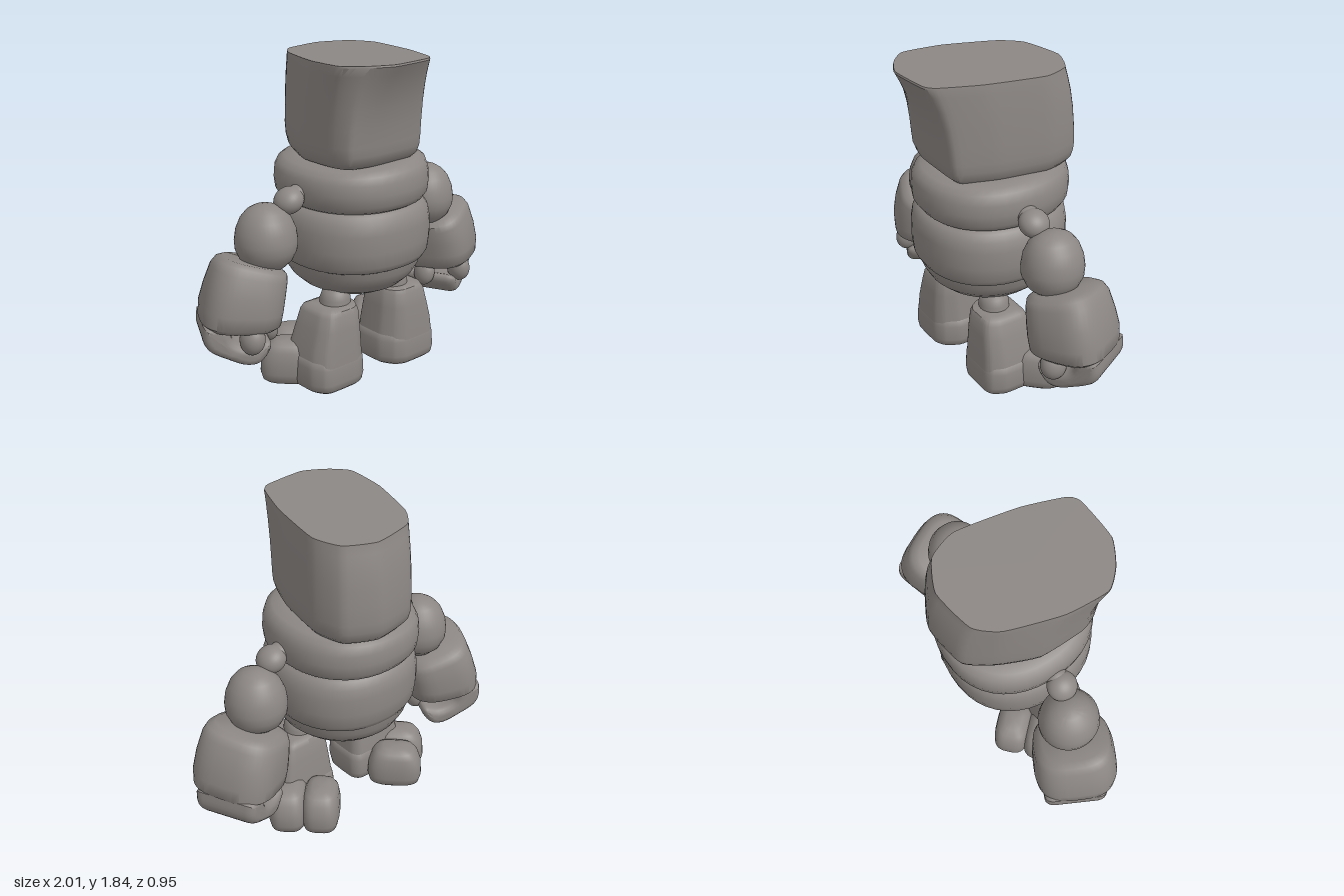
import * as THREE from 'three';
import { mergeVertices, toCreasedNormals } from 'three/addons/utils/BufferGeometryUtils.js';

const SEG = 40;
const ARM_TURN = 0.45;

// Closed skin over a stack of rings (bottom to top), each an array of Vector3
function skin(rings, crease = 0.7) {
  const n = rings[0].length, pos = [], idx = [];
  rings.forEach(r => r.forEach(p => pos.push(p.x, p.y, p.z)));
  for (let i = 0; i < rings.length - 1; i++) {
    for (let j = 0; j < n; j++) {
      const a = i * n + j, b = i * n + (j + 1) % n;
      idx.push(a, a + n, b, b, a + n, b + n);
    }
  }
  [rings[0], rings[rings.length - 1]].forEach((r, end) => {
    const c = r.reduce((s, p) => s.add(p), new THREE.Vector3()).divideScalar(n);
    const base = end ? (rings.length - 1) * n : 0, k = pos.length / 3;
    pos.push(c.x, c.y, c.z);
    for (let j = 0; j < n; j++) {
      const a = base + j, b = base + (j + 1) % n;
      idx.push(...(end ? [k, b, a] : [k, a, b]));
    }
  });
  const g = new THREE.BufferGeometry();
  g.setAttribute('position', new THREE.Float32BufferAttribute(pos, 3));
  g.setIndex(idx);
  return toCreasedNormals(g, crease);
}

// Rounded-square cross-sections: rows of [y, rx, rz, cx, cz, slope along x]; turn rotates in plan
function loft(rows, power = 2, turn = 0, crease) {
  const bend = v => Math.sign(v) * Math.pow(Math.abs(v), 2 / power);
  const c = Math.cos(turn), s = Math.sin(turn);
  return skin(rows.map(([y, rx, rz, cx = 0, cz = 0, slope = 0]) => Array.from({ length: SEG }, (_, j) => {
    const a = j / SEG * Math.PI * 2;
    const x = rx * bend(Math.cos(a)), z = rz * bend(Math.sin(a));
    const dx = x * c - z * s;
    return new THREE.Vector3(cx + dx, y + slope * dx, cz + x * s + z * c);
  })), crease);
}

// Ring at height y through [x, z] corners, slightly softened
function cornerRing(corners, y) {
  const pts = corners.map(([x, z]) => new THREE.Vector3(x, y, z));
  return new THREE.CatmullRomCurve3(pts, true, 'catmullrom', 0.25).getPoints(60).slice(0, -1);
}

function ellipsoid(x, y, z, rx, ry, rz, tilt = 0) {
  return new THREE.SphereGeometry(1, 28, 20).scale(rx, ry, rz).rotateZ(tilt).translate(x, y, z);
}

function mirrored(geometry) {
  const g = mergeVertices(geometry.clone().scale(-1, 1, 1));
  const ix = g.index;
  for (let i = 0; i < ix.count; i += 3) {
    const t = ix.getX(i);
    ix.setX(i, ix.getX(i + 1));
    ix.setX(i + 1, t);
  }
  return g;
}

// Lopsided block head that flares forward at the top
function headGeometry() {
  const low = [[.335, -.2], [.285, .1], [.205, .31], [.13, .335], [-.15, .335], [-.29, .3], [-.33, .2],
    [-.335, -.05], [-.25, -.27], [-.14, -.43], [.1, -.475], [.285, -.38]];
  const high = [[.31, -.17], [.25, .17], [.17, .4], [.11, .45], [-.13, .47], [-.27, .4], [-.36, .3],
    [-.35, .06], [-.26, -.24], [-.16, -.36], [.08, -.41], [.25, -.33]];
  const levels = [[1.265, 0, .78], [1.278, 0, .89], [1.305, 0, .955], [1.35, 0, .99], [1.4, 0, 1],
    [1.5, .1, 1], [1.6, .25, 1], [1.7, .5, 1], [1.78, .8, 1], [1.825, 1, 1], [1.835, 1, .995]];
  return skin(levels.map(([y, t, s]) => {
    const ring = cornerRing(low.map(([x, z], i) => [
      s * (x + (high[i][0] - x) * t), s * (z + (high[i][1] - z) * t) - (1 - s) * .12]), y);
    ring.forEach(p => { p.y += 0.025 * t * p.z; });
    return ring;
  }), 0.6);
}

// Leg block with its inner front corner cut away: rows of [y, rx, rz, cx, cz]
function legBlock(rows) {
  const plan = [[1, -.75], [1, .45], [.8, .88], [.55, 1], [-.4, 1], [-.75, .8], [-1, .3], [-1, -.7],
    [-.75, -1], [.75, -1]];
  return skin(rows.map(([y, rx, rz, cx, cz]) =>
    cornerRing(plan.map(([x, z]) => [cx + rx * x, cz + rz * z]), y)), 0.8);
}

// Curled slab of fingers, open towards the body and turned with the forearm
function fingersGeometry() {
  const outline = [[.18, .5], [.185, .42], [.15, .355], [.06, .3], [-.04, .255], [-.12, .265],
    [-.175, .34], [-.16, .385], [-.07, .365], [.02, .4], [.05, .47], [.1, .51]].map(p => new THREE.Vector2(...p));
  const shape = new THREE.Shape(new THREE.SplineCurve([...outline, outline[0]]).getPoints(44).slice(0, -1));
  const g = new THREE.ExtrudeGeometry(shape, { depth: .25, bevelEnabled: true, bevelSize: .04,
    bevelThickness: .055, bevelOffset: -.04, bevelSegments: 4 });
  g.deleteAttribute('uv');
  g.translate(0, 0, -.125).rotateY(ARM_TURN).translate(.775, 0, -.1);
  return toCreasedNormals(g, 0.9);
}

export function createModel() {
  const model = new THREE.Group();
  model.name = 'stoneGolem';
  const stone = new THREE.MeshStandardMaterial({ color: 0x8c8784 });
  stone.name = 'warm grey stone';

  const add = (name, geometry, parent = model) => {
    const mesh = new THREE.Mesh(geometry, stone);
    mesh.name = name;
    parent.add(mesh);
  };

  // Head and torso
  add('head', headGeometry());
  add('neck', loft([[1.2, .26, .3, 0, -.05], [1.32, .25, .28, 0, -.05]]));
  add('chest', loft([[1.02, .34, .36], [1.045, .38, .405], [1.08, .4, .43], [1.14, .408, .435],
    [1.2, .403, .43], [1.245, .385, .415], [1.27, .35, .38], [1.28, .29, .32]]
    .map((r, i) => [...r, 0, -.025, i > 4 ? .03 : 0]), 2.2, 0, 1));
  add('belly', loft([[.69, .36, .37], [.705, .39, .4], [.74, .41, .42], [.82, .42, .428], [.92, .418, .428],
    [.98, .405, .42], [1.02, .38, .395], [1.045, .34, .35]].map(r => [...r, 0, -.015]), 2.2, 0, 1));
  add('hips', loft([[.475, .06, .06], [.485, .14, .14], [.51, .21, .22], [.55, .285, .3], [.6, .34, .355],
    [.66, .378, .39], [.74, .39, .4]].map(r => [...r, 0, -.02]), 2, 0, 1));

  const armParts = {
    shoulder: ellipsoid(.46, 1.095, 0, .085, .07, .085, -.5),
    shoulderPin: ellipsoid(.4, 1.12, 0, .07, .05, .06),
    upperArm: loft([[.735, .06, .06], [.75, .1, .1], [.79, .14, .142], [.85, .166, .17], [.9, .17, .172],
      [.96, .161, .163], [1.02, .135, .14], [1.06, .1, .108], [1.085, .06, .065], [1.095, .02, .02]]
      .map(r => [...r, .593, -.032]), 2, 0, 1),
    forearm: loft([[.45, .15, .17, .755, -.075, .1], [.455, .19, .205, .755, -.075, .1],
      [.48, .216, .233, .754, -.075, .11], [.55, .22, .239, .744, -.073, .14],
      [.64, .211, .232, .72, -.068, .22], [.73, .197, .217, .69, -.064, .32],
      [.765, .182, .2, .675, -.06, .35], [.785, .145, .165, .67, -.06, .35]], 2.9, -ARM_TURN, 0.8),
    fingers: fingersGeometry(),
    thumb: ellipsoid(.785, .415, .085, .065, .085, .075, .15),
    innerFinger: ellipsoid(.605, .395, -.03, .055, .08, .07, -.2),
    palm: ellipsoid(.865, .45, -.13, .08, .07, .13)
  };

  // Blocky toes pointing outwards and backwards
  const toe = (x, z) => loft([[.01, .13, .085], [.025, .15, .1], [.07, .162, .109], [.14, .157, .107],
    [.2, .137, .099], [.235, .11, .082], [.253, .07, .05]].map(r => [...r, x, z]), 3.1, -Math.PI / 4, 1);
  const legParts = {
    hipPost: loft([[.38, .088, .088, .222, .09], [.5, .086, .086, .218, .09], [.54, .076, .076, .213, .09],
      [.57, .045, .045, .21, .09]], 2, 0, 1),
    shin: legBlock([[.16, .182, .165, .265, .082], [.25, .172, .158, .262, .085], [.36, .152, .145, .252, .09],
      [.44, .138, .132, .245, .092], [.465, .125, .12, .243, .092], [.475, .09, .09, .242, .092]]),
    foot: legBlock([[.005, .165, .15, .265, .08], [.02, .185, .166, .265, .08], [.06, .194, .172, .265, .08],
      [.15, .189, .168, .264, .08], [.19, .181, .162, .264, .08], [.205, .16, .15, .264, .08]]),
    outerToe: toe(.425, -.07),
    innerToe: toe(.288, -.198)
  };

  for (const [limb, parts] of [['Arm', armParts], ['Leg', legParts]]) {
    for (const side of ['left', 'right']) {
      const group = new THREE.Group();
      group.name = side + limb;
      for (const [name, g] of Object.entries(parts)) add(name, side === 'left' ? g : mirrored(g), group);
      model.add(group);
    }
  }
  return model;
}
